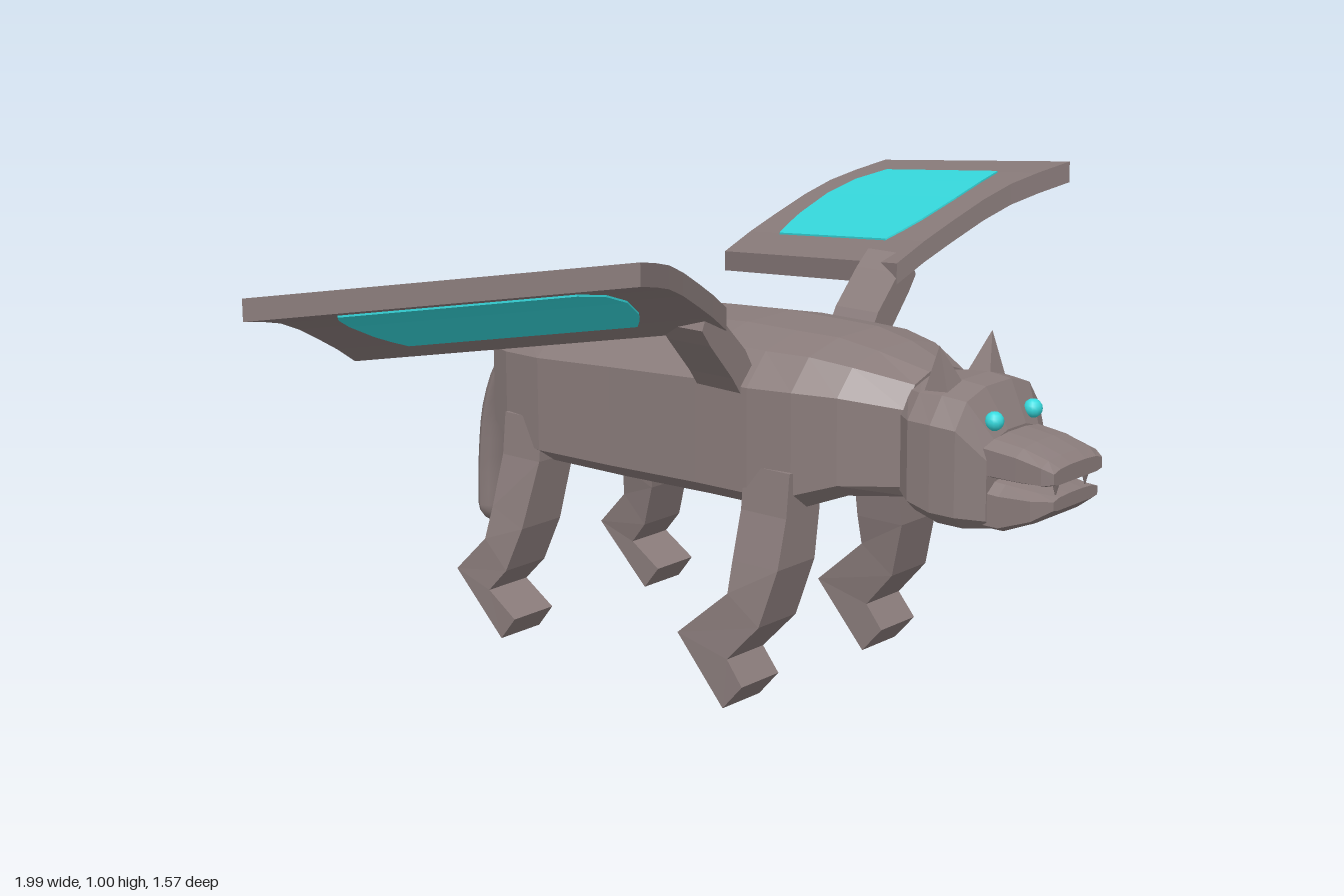
import * as THREE from 'three';

const hide = new THREE.MeshStandardMaterial({ color: 0x8a7c7b });
hide.name = 'greyBrownHide';
const teal = new THREE.MeshStandardMaterial({ color: 0x36dade });
teal.name = 'teal';

// Faceted solid through a list of rings, each counterclockwise seen from the last ring's end
function loft(rings) {
  const pos = [], n = rings[0].length, last = rings.length - 1;
  const tri = (...p) => p.forEach(v => pos.push(...v));
  for (let i = 0; i < last; i++) {
    for (let j = 0; j < n; j++) {
      const k = (j + 1) % n, a = rings[i], b = rings[i + 1];
      tri(a[j], a[k], b[k]);
      tri(a[j], b[k], b[j]);
    }
  }
  for (let k = 1; k < n - 1; k++) {
    tri(rings[0][0], rings[0][k + 1], rings[0][k]);
    tri(rings[last][0], rings[last][k], rings[last][k + 1]);
  }
  const g = new THREE.BufferGeometry();
  g.setAttribute('position', new THREE.Float32BufferAttribute(pos, 3));
  g.computeVertexNormals();
  return g;
}

const mirror = (rings, side) => side > 0 ? rings :
  rings.map(r => r.map(([x, y, z]) => [-x, y, z]).reverse());

// Bevelled cross-section: half width, bottom, top
function section([z, hw, yb, yt]) {
  const h = yt - yb;
  const half = [[0.8, 0], [1, 0.1], [1, 0.74], [0.74, 0.93], [0.3, 1]];
  const right = half.map(([x, y]) => [x * hw, yb + y * h, z]);
  return [...right, ...right.map(([x, y]) => [-x, y, z]).reverse()];
}

// Leg: front z, front y, back z, back y, inner x, outer x, going down
const frontLeg = [
  [0.265, 0.5, 0.15, 0.5, 0.12, 0.225],
  [0.265, 0.41, 0.15, 0.41, 0.13, 0.235],
  [0.265, 0.31, 0.15, 0.31, 0.145, 0.262],
  [0.23, 0.19, 0.15, 0.245, 0.16, 0.278],
  [0.155, 0.11, 0.025, 0.14, 0.172, 0.286],
  [0.195, 0.06, 0.145, 0.005, 0.172, 0.288]];
const backLeg = [
  [-0.4, 0.5, -0.505, 0.5, 0.12, 0.225],
  [-0.4, 0.41, -0.505, 0.41, 0.13, 0.235],
  [-0.425, 0.265, -0.51, 0.3, 0.148, 0.265],
  [-0.46, 0.17, -0.52, 0.23, 0.162, 0.28],
  [-0.505, 0.12, -0.6, 0.15, 0.172, 0.286],
  [-0.43, 0.07, -0.47, 0.02, 0.172, 0.288]];
const legRings = rows => rows.map(([zf, yf, zb, yb, x0, x1]) =>
  [[x1, yb, zb], [x1, yf, zf], [x0, yf, zf], [x0, yb, zb]]);

// Wing surface: s runs along the span from the outer edge, t runs back along the chord
const span = [[-0.44, 0.825], [-0.37, 0.865], [-0.3, 0.9], [-0.22, 0.938],
  [-0.15, 0.965], [-0.08, 0.983], [0, 1]];
function wingPoint(s, t, off) {
  let i = 0;
  while (i < span.length - 2 && s > span[i + 1][0]) i++;
  const [s0, y0] = span[i], [s1, y1] = span[i + 1];
  const y = y0 + (y1 - y0) * (s - s0) / (s1 - s0);
  const slide = t - (1 - y) * 0.15;
  return [0.69 + 0.92 * s + 0.39 * slide, y - 0.146 * t + off,
    0.295 + 0.39 * s - 0.92 * slide];
}
const slab = (s, t0, t1, top, bottom) => [wingPoint(s, t1, top), wingPoint(s, t0, top),
  wingPoint(s, t0, bottom), wingPoint(s, t1, bottom)];

export function createModel() {
  const model = new THREE.Group();
  model.name = 'wingedBeast';
  const add = (name, geometry, material = hide) => {
    const m = new THREE.Mesh(geometry, material);
    m.name = name;
    model.add(m);
    return m;
  };

  // Torso and neck, tail end to head end
  add('body', loft([
    [-0.645, 0.06, 0.54, 0.635], [-0.6, 0.14, 0.465, 0.685], [-0.57, 0.19, 0.44, 0.695],
    [-0.51, 0.215, 0.41, 0.705], [-0.4, 0.235, 0.405, 0.715], [-0.2, 0.233, 0.405, 0.73],
    [0.03, 0.233, 0.41, 0.745], [0.16, 0.23, 0.41, 0.745], [0.26, 0.215, 0.42, 0.745],
    [0.35, 0.185, 0.455, 0.73], [0.46, 0.11, 0.46, 0.7]].map(section)));

  // Head with separate jaws
  add('head', loft([
    [0.445, 0.11, 0.455, 0.69], [0.49, 0.145, 0.445, 0.695], [0.545, 0.148, 0.43, 0.7],
    [0.6, 0.142, 0.428, 0.695], [0.645, 0.1, 0.428, 0.615]].map(section)));
  add('upperJaw', loft([
    [0.63, 0.1, 0.53, 0.612], [0.71, 0.098, 0.53, 0.602],
    [0.765, 0.093, 0.532, 0.585], [0.787, 0.082, 0.537, 0.57]].map(section)));
  add('lowerJaw', loft([
    [0.63, 0.098, 0.428, 0.528], [0.67, 0.095, 0.427, 0.525],
    [0.74, 0.09, 0.455, 0.518], [0.783, 0.075, 0.485, 0.512]].map(section)));

  // Tail: flattened tube with a rounded tip
  const tailPath = new THREE.CatmullRomCurve3([[0.6, -0.6], [0.555, -0.68], [0.45, -0.733],
    [0.32, -0.753], [0.21, -0.757]].map(([y, z]) => new THREE.Vector3(0, y, z)));
  add('tail', new THREE.TubeGeometry(tailPath, 12, 0.027, 10)).scale.x = 2;
  const tip = add('tailTip', new THREE.SphereGeometry(1, 10, 8));
  tip.scale.set(0.054, 0.045, 0.027);
  tip.position.set(0, 0.21, -0.757);

  for (const side of [1, -1]) {
    const label = side > 0 ? 'left' : 'right';

    // Legs with feet folded forward
    add(label + 'FrontLeg', loft(mirror(legRings(frontLeg), side)));
    add(label + 'BackLeg', loft(mirror(legRings(backLeg), side)));

    // Wing arm: top x, y and bottom x, y
    add(label + 'WingArm', loft(mirror([
      [0.18, 0.67, 0.22, 0.63], [0.215, 0.73, 0.255, 0.68],
      [0.285, 0.802, 0.32, 0.755], [0.325, 0.835, 0.345, 0.79]].map(([xt, yt, xb, yb]) =>
      [[xt, yt, 0.035], [xt, yt, 0.145], [xb, yb, 0.145], [xb, yb, 0.035]]), side)));

    // Curved wing and its coloured panel, showing on both faces
    add(label + 'Wing', loft(mirror(
      span.map(([s]) => slab(s, 0, 0.787, 0, -0.045)), side)));
    const steps = [-0.375, -0.34, -0.3, -0.22, -0.15, -0.085];
    add(label + 'WingPanel', loft(mirror(steps.map(s => {
      const bulge = 0.045 * (1 - ((s + 0.23) / 0.145) ** 2);
      return slab(s, 0.155 - bulge, 0.635 + bulge, 0.004, -0.049);
    }), side)), teal);

    // Eye
    add(label + 'Eye', new THREE.SphereGeometry(0.019, 12, 8), teal)
      .position.set(side * 0.065, 0.637, 0.637);

    // Pointed ear
    const ear = new THREE.ConeGeometry(0.042, 0.095, 4).toNonIndexed();
    ear.rotateY(Math.PI / 4);
    ear.computeVertexNormals();
    const earMesh = add(label + 'Ear', ear);
    earMesh.position.set(side * 0.078, 0.725, 0.522);
    earMesh.rotation.z = -side * 0.2;

    // Fang
    const fang = add(label + 'Fang', new THREE.ConeGeometry(0.009, 0.03, 4));
    fang.position.set(side * 0.05, 0.522, 0.77);
    fang.rotation.x = Math.PI;
  }
  return model;
}
